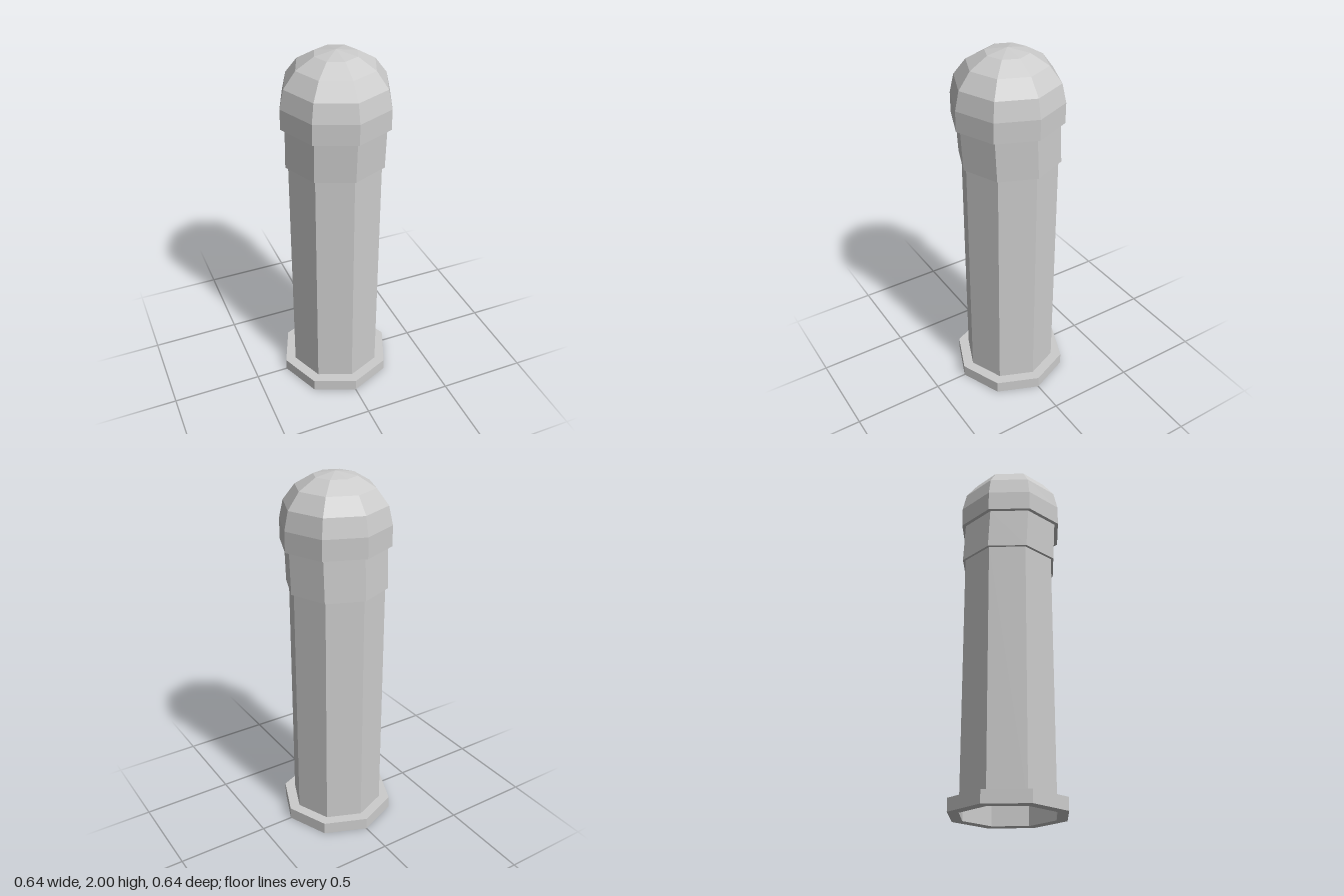
import * as THREE from 'three';

const SIDES = 8;
const LEAN = 0.012; // forward offset of the head

// Eight-sided turned part from [radius, height] pairs, listed from the bottom up
function turned(name, profile, side = THREE.FrontSide) {
  const points = profile.map(([r, y]) => new THREE.Vector2(r, y));
  const material = new THREE.MeshStandardMaterial({ color: 0xcccccc, flatShading: true, side });
  const mesh = new THREE.Mesh(new THREE.LatheGeometry(points, SIDES), material);
  mesh.name = name;
  return mesh;
}

export function createModel() {
  const group = new THREE.Group();
  group.name = 'bollard';

  const columnR = 0.258;
  const collarR = 0.273;
  const domeR = 0.295;
  const collarY = 1.405;
  const domeY = 1.63;
  const springY = 1.74;

  // Flat foot ring, open in the middle
  group.add(turned('footFlange', [[columnR, 0], [0.318, 0], [0.318, 0.068], [columnR, 0.068]]));

  // Hollow shaft, open at the bottom
  group.add(turned('column', [[columnR, 0], [columnR, collarY]], THREE.DoubleSide));

  // Collar, sheared slightly forward toward its top
  const collar = turned('collar', [[columnR - 0.02, collarY], [collarR, collarY], [collarR, domeY]]);
  const pos = collar.geometry.attributes.position;
  for (let i = 0; i < pos.count; i++) {
    const t = (pos.getY(i) - collarY) / (domeY - collarY);
    pos.setZ(i, pos.getZ(i) + LEAN * t);
  }
  group.add(collar);

  // Domed cap: underside, short straight skirt, then a quarter round in four steps
  const profile = [[0, domeY], [domeR, domeY]];
  for (let i = 0; i <= 4; i++) {
    const a = (i / 4) * Math.PI / 2;
    profile.push([i === 4 ? 0 : domeR * Math.cos(a), springY + (2 - springY) * Math.sin(a)]);
  }
  const dome = turned('domeCap', profile);
  dome.position.z = LEAN;
  group.add(dome);

  return group;
}
